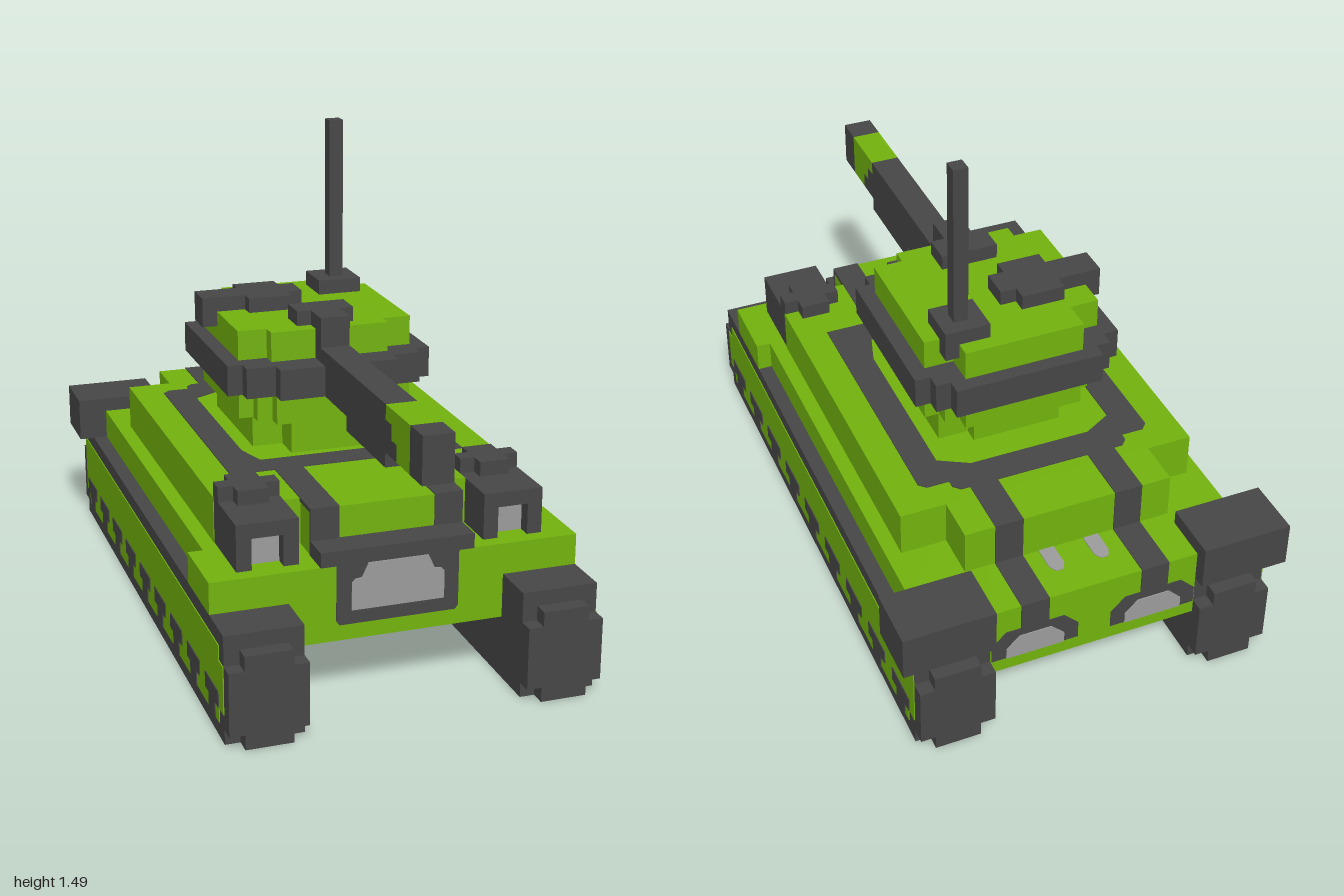
import * as THREE from 'three';

const mat = (name, color) => {
  const m = new THREE.MeshStandardMaterial({ color });
  m.name = name;
  return m;
};

export function createModel() {
  const green = mat('green paint', 0x72b30d);
  const dark = mat('dark rubber', 0x464646);
  const grey = mat('light grey', 0x9c9c9c);
  const model = new THREE.Group();
  model.name = 'tank';
  const T = 0.003; // how far painted plates stand off a surface

  const part = (name) => {
    const g = new THREE.Group();
    g.name = name;
    model.add(g);
    return g;
  };
  // Box from its limits on each axis
  const box = (g, name, m, [x0, x1], [y0, y1], [z0, z1]) => {
    const mesh = new THREE.Mesh(new THREE.BoxGeometry(x1 - x0, y1 - y0, z1 - z0), m);
    mesh.position.set((x0 + x1) / 2, (y0 + y1) / 2, (z0 + z1) / 2);
    mesh.name = name;
    g.add(mesh);
  };
  // Box centred on x, and a pair mirrored in x
  const mid = (g, name, m, w, y, z) => box(g, name, m, [-w, w], y, z);
  const pair = (g, name, m, [a, b], y, z) => {
    box(g, name, m, [a, b], y, z);
    box(g, name, m, [-b, -a], y, z);
  };
  // Thin painted plate facing +z, from 2D outline points
  const plate = (g, name, m, pts, holes = []) => {
    const shape = new THREE.Shape(pts.map(([x, y]) => new THREE.Vector2(x, y)));
    holes.forEach((h) => shape.holes.push(new THREE.Path(h.map(([x, y]) => new THREE.Vector2(x, y)))));
    const mesh = new THREE.Mesh(new THREE.ExtrudeGeometry(shape, { depth: 2 * T, bevelEnabled: false }), m);
    mesh.name = name;
    g.add(mesh);
    return mesh;
  };

  // Hull
  const hull = part('hull');
  mid(hull, 'lower hull', green, 0.325, [0.19, 0.42], [-0.958, 0.717]);
  mid(hull, 'fender deck', green, 0.51, [0.325, 0.42], [-0.82, 0.49]);
  mid(hull, 'front fender', green, 0.555, [0.325, 0.42], [0.49, 0.717]);
  mid(hull, 'upper hull', green, 0.465, [0.42, 0.56], [-0.627, 0.445]);
  mid(hull, 'upper hull rear', green, 0.325, [0.42, 0.56], [-0.77, -0.627]);
  mid(hull, 'upper hull front', green, 0.28, [0.42, 0.56], [0.445, 0.53]);
  mid(hull, 'upper hull nose', green, 0.23, [0.42, 0.56], [0.53, 0.625]);
  mid(hull, 'nose bar', dark, 0.232, [0.42, 0.465], [0.62, 0.72]);
  pair(hull, 'rear mudguard', dark, [0.325, 0.603], [0.325, 0.465], [-1, -0.815]);

  // Front grille
  plate(hull, 'grille frame', dark, [
    [-0.175, 0.238], [0.175, 0.238], [0.185, 0.25], [0.185, 0.42], [-0.185, 0.42], [-0.185, 0.25],
  ]).position.z = 0.717 - T;
  plate(hull, 'grille', grey, [
    [-0.14, 0.28], [0.14, 0.28], [0.14, 0.365], [0.13, 0.375], [0.11, 0.378], [0.09, 0.42],
    [-0.09, 0.42], [-0.11, 0.378], [-0.13, 0.375], [-0.14, 0.365],
  ]).position.z = 0.717;

  // Dark painted stripes over the deck
  const stripes = part('deckStripes');
  const ring = plate(stripes, 'turret ring stripe', dark, [
    [-0.37, -0.29], [0.37, -0.29], [0.37, 0.52], [0.35, 0.54], [0.28, 0.54], [0.28, 0.565], [0.26, 0.585],
    [-0.26, 0.585], [-0.28, 0.565], [-0.28, 0.54], [-0.35, 0.54], [-0.37, 0.52],
  ], [[[-0.28, -0.1], [-0.28, 0.44], [-0.19, 0.49], [0.19, 0.49], [0.28, 0.44], [0.28, -0.1],
    [0.25, -0.2], [-0.25, -0.2]]]);
  ring.rotation.x = -Math.PI / 2;
  ring.position.y = 0.56 - T;
  const s = [0.145, 0.232];
  pair(stripes, 'front stripe', dark, s, [0.55, 0.56 + T], [0.285, 0.625 + T]);
  pair(stripes, 'nose stripe', dark, s, [0.46, 0.56], [0.62, 0.625 + T]);
  pair(stripes, 'rear stripe', dark, s, [0.555, 0.56 + T], [-0.77 - T, -0.58]);
  pair(stripes, 'rear step stripe', dark, s, [0.42, 0.56], [-0.77 - T, -0.765]);
  pair(stripes, 'rear deck stripe', dark, s, [0.415, 0.42 + T], [-0.958 - T, -0.77]);
  pair(stripes, 'tail stripe', dark, s, [0.32, 0.42], [-0.958 - T, -0.953]);

  // Rear vents and deck slots
  for (const side of [-1, 1]) {
    const surround = plate(stripes, 'vent surround', dark, [
      [-0.135, 0.235], [0.135, 0.235], [0.135, 0.29], [0.09, 0.335], [-0.09, 0.335], [-0.135, 0.29],
    ]);
    const vent = plate(stripes, 'rear vent', grey, [
      [-0.09, 0.235], [0.09, 0.235], [0.09, 0.27], [0.05, 0.31], [-0.05, 0.31], [-0.09, 0.27],
    ]);
    const slot = plate(stripes, 'deck slot', grey, [
      [-0.024, 0.772], [0.024, 0.772], [0.024, 0.845], [0.012, 0.867], [-0.012, 0.867], [-0.024, 0.845],
    ]);
    surround.rotation.y = vent.rotation.y = Math.PI;
    surround.position.set(side * 0.187, 0, -0.958 + T);
    vent.position.set(side * 0.187, 0, -0.958);
    slot.rotation.x = -Math.PI / 2;
    slot.position.set(side * 0.071, 0.42 - T, 0);
  }

  // Headlights: recessed lamp in a dark housing
  const lights = part('headlights');
  pair(lights, 'housing', dark, [0.28, 0.463], [0.42, 0.56], [0.445, 0.625]);
  pair(lights, 'inner cheek', dark, [0.28, 0.325], [0.42, 0.56], [0.625, 0.672]);
  pair(lights, 'outer cheek', dark, [0.418, 0.463], [0.42, 0.56], [0.625, 0.672]);
  pair(lights, 'brow', dark, [0.325, 0.418], [0.515, 0.56], [0.625, 0.672]);
  pair(lights, 'lamp', grey, [0.325, 0.418], [0.42, 0.515], [0.62, 0.63]);
  pair(lights, 'cap', dark, [0.28, 0.463], [0.558, 0.605], [0.44, 0.49]);
  pair(lights, 'cap ridge', dark, [0.325, 0.418], [0.558, 0.605], [0.395, 0.535]);

  // Tracks
  const tracks = part('tracks');
  pair(tracks, 'track', dark, [0.325, 0.555], [0, 0.325], [-0.955, 0.86]);
  pair(tracks, 'track end', dark, [0.325, 0.555], [0.045, 0.235], [-1, 0.907]);
  pair(tracks, 'track tread', dark, [0.37, 0.51], [0, 0.28], [-1, 0.907]);
  // Side panels in green, with T-shaped dark links
  const px = [0.55, 0.555 + T];
  pair(tracks, 'side panel', green, px, [0.045, 0.28], [-0.91, 0.815]);
  pair(tracks, 'side panel middle', green, px, [0.09, 0.235], [-0.955, 0.86]);
  pair(tracks, 'side panel rear', green, px, [0.15, 0.28], [-0.955, -0.9]);
  const lx = [0.55, 0.555 + 2 * T];
  for (let i = 0; i < 9; i++) {
    const z = 0.748 - i * 0.2;
    pair(tracks, 'link bar', dark, lx, [0.093, 0.14], [z - 0.068, z + 0.068]);
    pair(tracks, 'link stem', dark, lx, [0.044, 0.094], [z - 0.033, z + 0.033]);
  }

  // Turret: stepped octagonal layers, each a stack of [half width, back, front]
  const turret = part('turret');
  const layer = (name, m, y, steps) => steps.forEach(([w, z0, z1]) => mid(turret, name, m, w, y, [z0, z1]));
  layer('turret base', green, [0.56, 0.655], [[0.235, -0.345, 0.07], [0.14, -0.392, 0.165]]);
  layer('turret body', green, [0.655, 0.75],
    [[0.278, -0.345, 0.07], [0.232, -0.392, 0.115], [0.185, -0.44, 0.165]]);
  layer('turret belt', dark, [0.745, 0.84],
    [[0.325, -0.395, 0.115], [0.278, -0.44, 0.16], [0.232, -0.487, 0.16], [0.187, -0.487, 0.208]]);
  layer('turret top', green, [0.84, 0.932], [[0.278, -0.348, 0.068], [0.187, -0.442, 0.115]]);

  // Roof fittings
  const roof = part('roofFittings');
  const ry = [0.93, 0.978];
  box(roof, 'hatch', dark, [-0.187, -0.05], ry, [-0.305, -0.118]);
  box(roof, 'hatch arm', dark, [-0.325, 0], ry, [-0.26, -0.165]);
  box(roof, 'hatch hook', dark, [-0.325, -0.278], [0.885, 0.94], [-0.26, -0.165]);
  mid(roof, 'sight', dark, 0.09, ry, [-0.022, 0.07]);
  mid(roof, 'sight front', dark, 0.046, [0.885, 0.978], [0.06, 0.165]);
  box(roof, 'antenna base', dark, [0.09, 0.23], ry, [-0.395, -0.258]);
  box(roof, 'antenna bracket', dark, [0.187, 0.23], [0.885, 0.94], [-0.395, -0.348]);
  box(roof, 'antenna', dark, [0.14, 0.185], [0.97, 1.488], [-0.348, -0.302]);

  // Gun, with the paint edge stepping forward towards the underside
  const gun = part('gun');
  mid(gun, 'barrel', dark, 0.046, [0.745, 0.885], [0.1, 0.725]);
  mid(gun, 'barrel sleeve', dark, 0.046, [0.7, 0.745], [0.4, 0.725]);
  mid(gun, 'barrel paint', green, 0.046, [0.84, 0.885], [0.725, 0.91]);
  mid(gun, 'barrel middle', dark, 0.046, [0.795, 0.84], [0.725, 0.77]);
  mid(gun, 'barrel middle paint', green, 0.046, [0.795, 0.84], [0.77, 0.91]);
  mid(gun, 'barrel under', dark, 0.046, [0.745, 0.795], [0.725, 0.81]);
  mid(gun, 'barrel under paint', green, 0.046, [0.745, 0.795], [0.81, 0.91]);
  mid(gun, 'muzzle', dark, 0.046, [0.745, 0.885], [0.91, 1]);

  return model;
}
